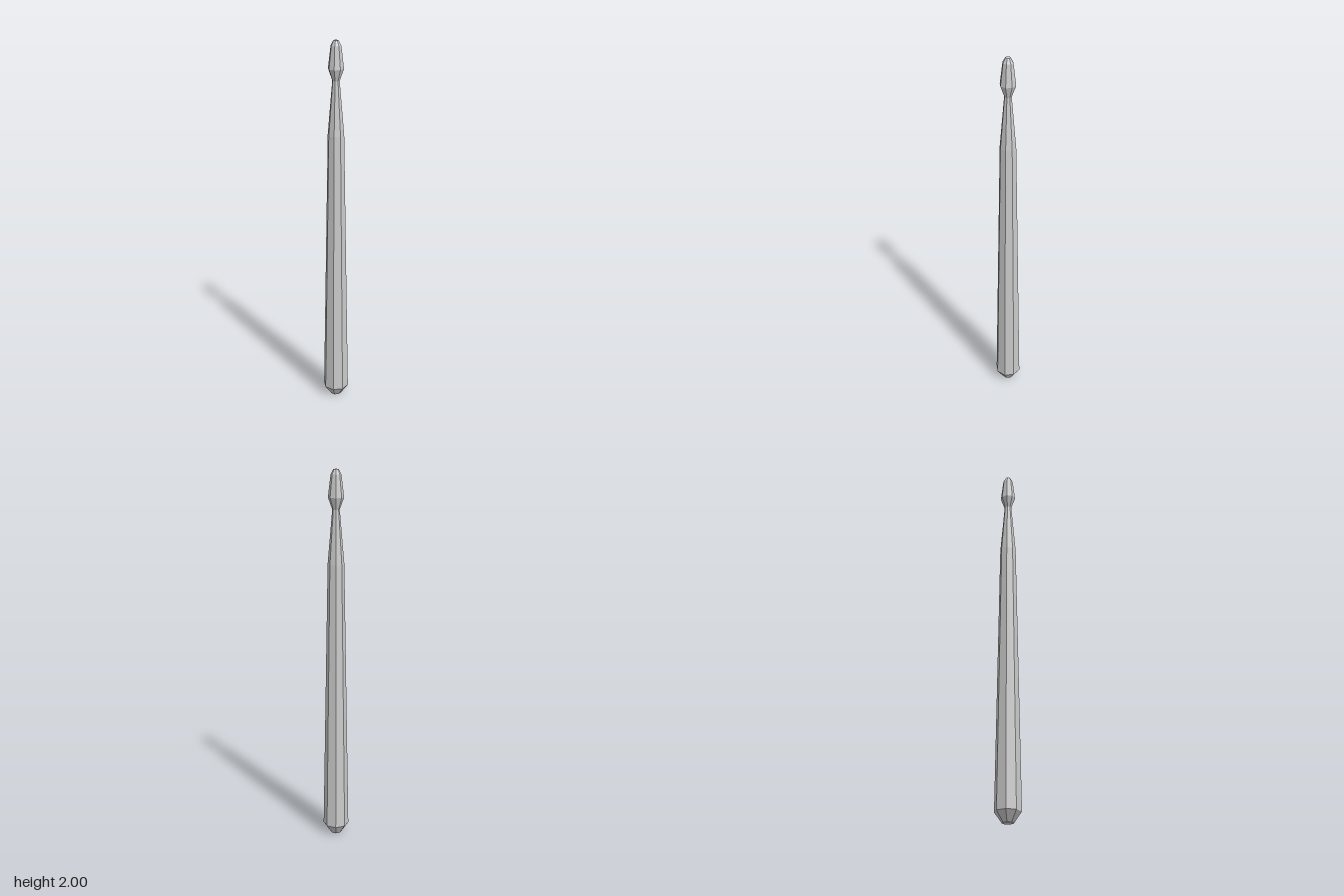
import * as THREE from 'three';

const SIDES = 8;

// Eight-sided turned piece from [radius, height] pairs, bottom to top
function turned(name, profile, material) {
  const points = profile.map(([r, y]) => new THREE.Vector2(r, y));
  const mesh = new THREE.Mesh(new THREE.LatheGeometry(points, SIDES), material);
  mesh.name = name;
  return mesh;
}

export function createModel() {
  const group = new THREE.Group();
  group.name = 'drumstick';
  const material = new THREE.MeshStandardMaterial({ color: 0xcccccc, flatShading: true });

  // Chamfered butt end
  group.add(turned('butt', [[0, 0], [0.03, 0], [0.069, 0.055]], material));

  // Long tapering shaft, narrowing faster at the shoulder
  group.add(turned('shaft', [[0.069, 0.055], [0.043, 1.52]], material));
  group.add(turned('shoulder', [[0.043, 1.52], [0.019, 1.8]], material));

  // Bead-shaped tip
  group.add(turned('tip', [
    [0.019, 1.8], [0.041, 1.86], [0.027, 1.975], [0.013, 2], [0, 2],
  ], material));

  return group;
}
